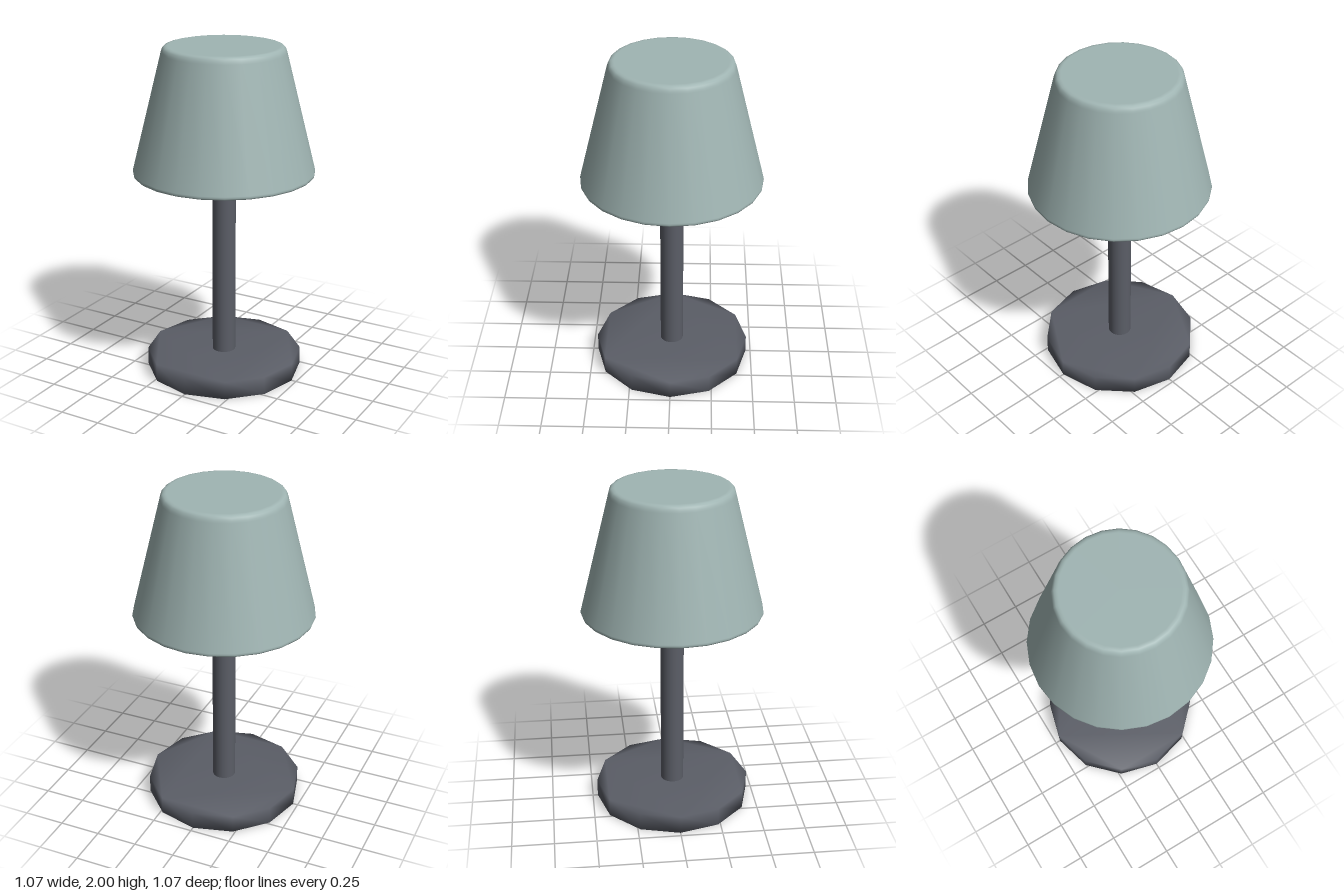
import * as THREE from 'three';
import { mergeVertices } from 'three/addons/utils/BufferGeometryUtils.js';

export function createModel() {
  const group = new THREE.Group();
  const shadeMat = new THREE.MeshStandardMaterial({ name: 'pale teal shade', color: 0xa0b5b3 });
  const metalMat = new THREE.MeshStandardMaterial({ name: 'dark grey metal', color: 0x5b5e67 });

  const add = (name, geometry, material) => {
    const mesh = new THREE.Mesh(geometry, material);
    mesh.name = name;
    group.add(mesh);
    return mesh;
  };

  // Twelve-sided foot, shaded softly across its edges
  const outline = new THREE.Shape();
  for (let i = 0; i < 12; i++) {
    const a = (i / 12) * Math.PI * 2;
    const x = 0.47 * Math.cos(a), y = 0.47 * Math.sin(a);
    if (i === 0) outline.moveTo(x, y);
    else outline.lineTo(x, y);
  }
  outline.closePath();
  let foot = new THREE.ExtrudeGeometry(outline, { depth: 0.11, bevelEnabled: false });
  foot.rotateX(-Math.PI / 2);
  foot.deleteAttribute('normal');
  foot.deleteAttribute('uv');
  foot = mergeVertices(foot, 1e-4);
  foot.computeVertexNormals();
  add('base', foot, metalMat);

  // Stem from the foot into the shade
  const stem = add('stem', new THREE.CylinderGeometry(0.07, 0.07, 1.17, 24), metalMat);
  stem.position.y = 0.1 + 1.17 / 2;

  // Closed tapered shade with small rounded rims
  const profile = [
    [0, 1.245], [0.515, 1.245], [0.522, 1.245], [0.533, 1.249], [0.537, 1.258], [0.535, 1.268],
    [0.361, 1.962], [0.358, 1.972], [0.352, 1.988], [0.341, 1.997], [0.328, 2], [0.32, 2], [0, 2],
  ].map(([r, y]) => new THREE.Vector2(r, y));
  add('shade', new THREE.LatheGeometry(profile, 24), shadeMat);

  return group;
}
